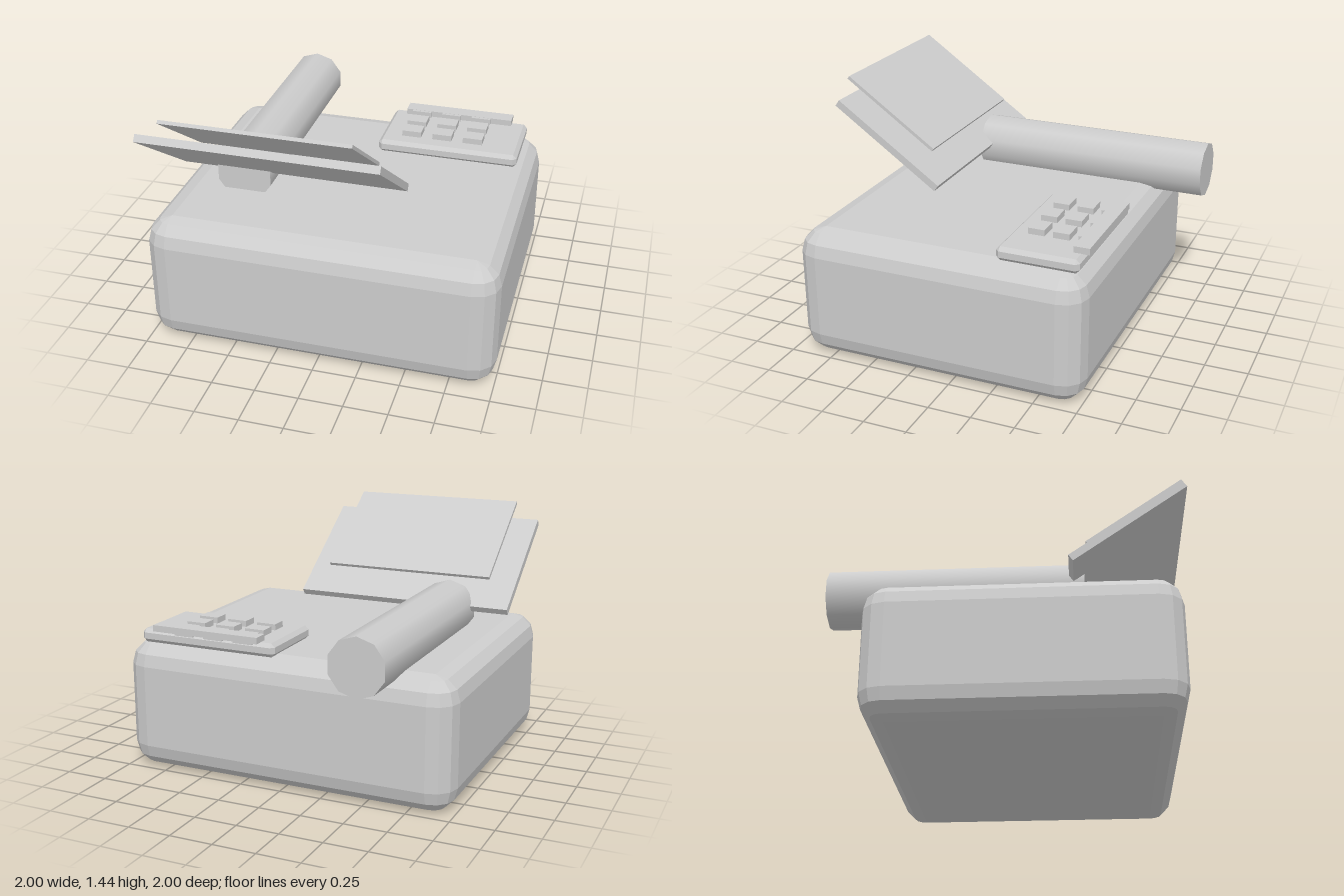
import * as THREE from 'three';

// Box with rounded edges and corners, n flat facets per quarter turn
function roundedBox(w, h, d, r, n) {
  const cols = 4 * (n + 1), rows = 2 * n + 3;
  const geo = new THREE.PlaneGeometry(1, 1, cols, rows);
  const pos = geo.attributes.position;
  const quarter = Math.PI / 2;
  for (let row = 0; row <= rows; row++) {
    const isCap = row === 0 || row === rows;
    const upper = row <= n + 1;
    const sy = upper ? 1 : -1;
    const lat = upper ? quarter * (1 - (row - 1) / n) : -quarter * (row - n - 2) / n;
    for (let c = 0; c <= cols; c++) {
      const q = Math.floor(c / (n + 1)) % 4;
      const lon = quarter * (q + (c % (n + 1)) / n);
      const sx = Math.sign(Math.sin(quarter * (q + 0.5)));
      const sz = Math.sign(Math.cos(quarter * (q + 0.5)));
      const i = row * (cols + 1) + c;
      if (isCap) pos.setXYZ(i, 0, sy * h / 2, 0);
      else pos.setXYZ(i,
        sx * (w / 2 - r) + r * Math.cos(lat) * Math.sin(lon),
        sy * (h / 2 - r) + r * Math.sin(lat),
        sz * (d / 2 - r) + r * Math.cos(lat) * Math.cos(lon));
    }
  }
  const flat = geo.toNonIndexed();
  flat.computeVertexNormals();
  return flat;
}

export function createModel() {
  const model = new THREE.Group();
  const grey = new THREE.MeshStandardMaterial({ color: 0xcccccc });
  grey.name = 'light grey';

  const add = (name, geometry, x, y, z, parent = model) => {
    const mesh = new THREE.Mesh(geometry, grey);
    mesh.name = name;
    mesh.position.set(x, y, z);
    parent.add(mesh);
    return mesh;
  };

  // Main housing
  add('body', roundedBox(2, 0.76, 1.71, 0.14, 3), 0, 0.38, 0.095);

  // Paper roller lying front to back, ten sided
  const roller = new THREE.CylinderGeometry(0.166, 0.166, 1.43, 10);
  roller.rotateX(Math.PI / 2);
  add('roller', roller, -0.57, 0.86, -0.285);

  // Two tilted sheets rising toward the front
  const tilt = -35 * Math.PI / 180;
  add('lowerTray', new THREE.BoxGeometry(1.335, 0.043, 0.768), -0.2875, 1.097, 0.672).rotation.x = tilt;
  add('upperSheet', new THREE.BoxGeometry(1.047, 0.02, 0.663), -0.288, 1.242, 0.718).rotation.x = tilt;

  // Keypad with chamfered base, 3 x 3 keys and a bar over the back row
  const keypad = new THREE.Group();
  keypad.name = 'keypad';
  model.add(keypad);
  add('keypadBase', roundedBox(0.85, 0.08, 0.47, 0.022, 1), 0.475, 0.795, -0.475, keypad);
  const key = new THREE.BoxGeometry(0.118, 0.05, 0.094);
  for (let row = 0; row < 3; row++) {
    for (let col = 0; col < 3; col++) {
      add('key', key, 0.237 + col * 0.189, 0.845, -0.386 - row * 0.143, keypad);
    }
  }
  add('displayBar', new THREE.BoxGeometry(0.667, 0.037, 0.091), 0.47, 0.8525, -0.6905, keypad);

  return model;
}
